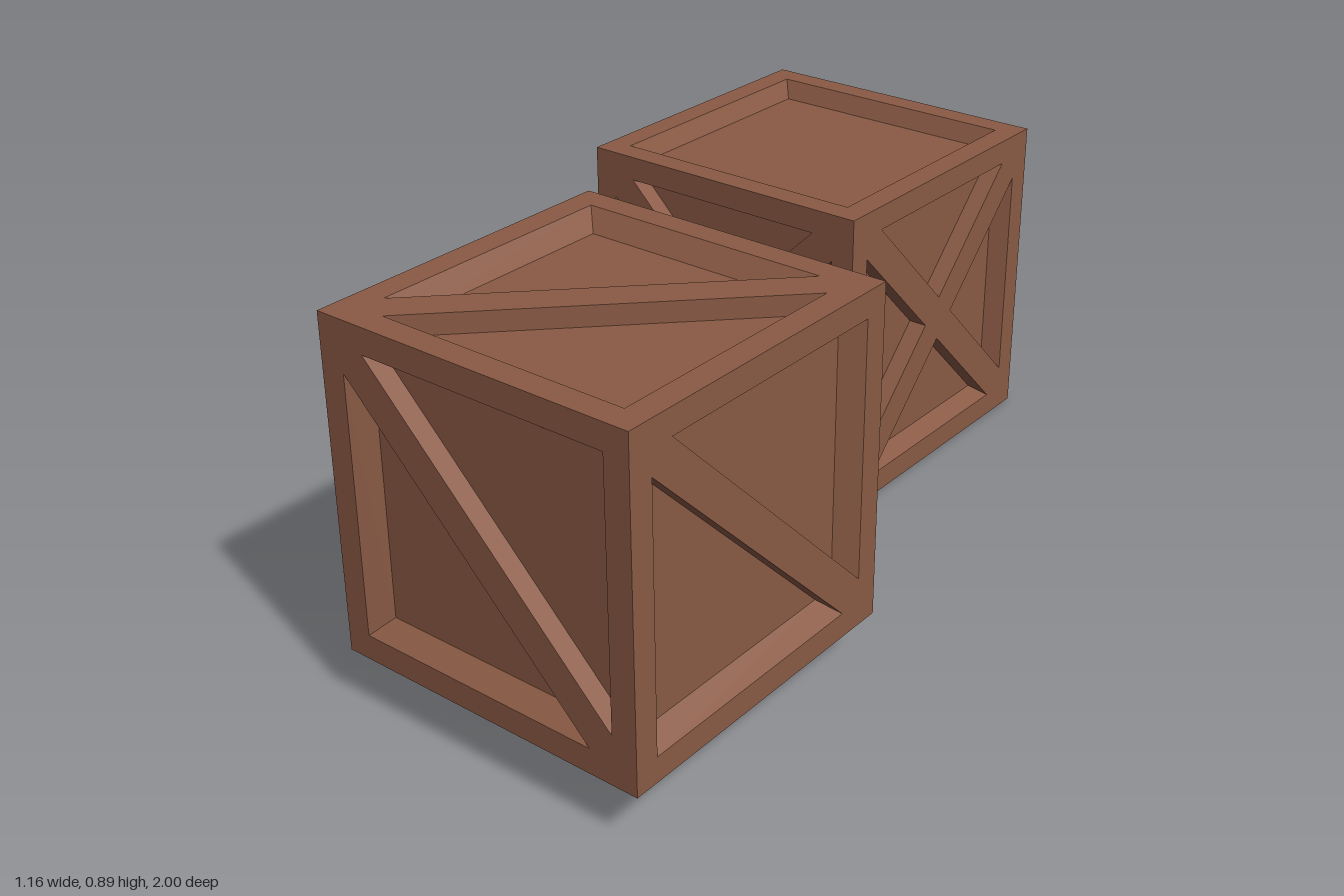
import * as THREE from 'three';
import { mergeGeometries } from 'three/addons/utils/BufferGeometryUtils.js';

const HALF = 0.3825;   // half the crate edge
const OPEN = 0.324;    // half the opening inside the frame
const DEPTH = 0.045;   // recess depth
const BRACE = 0.056;   // half-width of a diagonal brace, measured along an axis

const turn = (pts, n) => pts.map(([x, y]) => {
  for (let i = 0; i < n; i++) [x, y] = [-y, x];
  return [x, y];
});

// Outlines of the recesses (counter-clockwise) for an opening of half-size h
const layouts = {
  plain: h => [[[-h, -h], [h, -h], [h, h], [-h, h]]],
  diagonal: h => [0, 2].map(n => turn([[-h, -h], [h - BRACE, -h], [-h, h - BRACE]], n)),
  cross: h => [0, 1, 2, 3].map(n => turn([[BRACE - h, -h], [h - BRACE, -h], [0, -BRACE]], n)),
};

const toShape = pts => new THREE.Shape(pts.map(p => new THREE.Vector2(...p)));

// Sloping sides between an opening and its sunken board
function wallGeometry(outer, inner) {
  const pos = [];
  outer.forEach((a, i) => {
    const j = (i + 1) % outer.length;
    const p = [[...a, 0], [...outer[j], 0], [...inner[j], -DEPTH], [...inner[i], -DEPTH]];
    [0, 1, 2, 0, 2, 3].forEach(k => pos.push(...p[k]));
  });
  const g = new THREE.BufferGeometry();
  g.setAttribute('position', new THREE.Float32BufferAttribute(pos, 3));
  g.computeVertexNormals();
  return g;
}

// One crate face, looking along +z
function makeFace(name, layout, bevel, material) {
  const face = new THREE.Group();
  face.name = name;
  const outer = layouts[layout](OPEN);
  const inner = layouts[layout](OPEN - bevel);

  const frame = toShape(layouts.plain(HALF)[0]);
  frame.holes = outer.map(toShape);
  const add = (part, geometry, z = 0) => {
    const mesh = new THREE.Mesh(geometry, material);
    mesh.name = part;
    mesh.position.z = z;
    face.add(mesh);
  };
  add('frame', new THREE.ShapeGeometry(frame));
  add('recessSides', mergeGeometries(outer.map((o, i) => wallGeometry(o, inner[i]))));
  add('sunkenBoards', new THREE.ShapeGeometry(inner.map(toShape)), -DEPTH);
  return face;
}

function makeCrate(name, sideLayout, endLayout, bevel, material) {
  const crate = new THREE.Group();
  crate.name = name;
  const place = (face, rx, ry, rz = 0) => {
    face.rotation.set(rx, ry, rz);
    face.translateZ(HALF);
    crate.add(face);
  };
  // Four sides
  ['frontSide', 'leftSide', 'backSide', 'rightSide'].forEach((side, i) =>
    place(makeFace(side, sideLayout, bevel, material), 0, i * Math.PI / 2));
  // Lid (brace turned a quarter) and base
  place(makeFace('lid', endLayout, bevel, material), -Math.PI / 2, 0, Math.PI / 2);
  place(makeFace('base', endLayout, bevel, material), Math.PI / 2, 0);
  return crate;
}

export function createModel() {
  const model = new THREE.Group();
  model.name = 'crates';
  const wood = new THREE.MeshStandardMaterial({ color: 0x8a5a45 });

  const back = makeCrate('crossBracedCrate', 'cross', 'plain', 0.022, wood);
  back.position.set(-0.1975, HALF, -0.6175);

  const front = makeCrate('diagonalBracedCrate', 'diagonal', 'diagonal', 0.034, wood);
  front.position.set(0.1975, 0.13 + HALF, 0.6175);

  model.add(back, front);
  return model;
}
